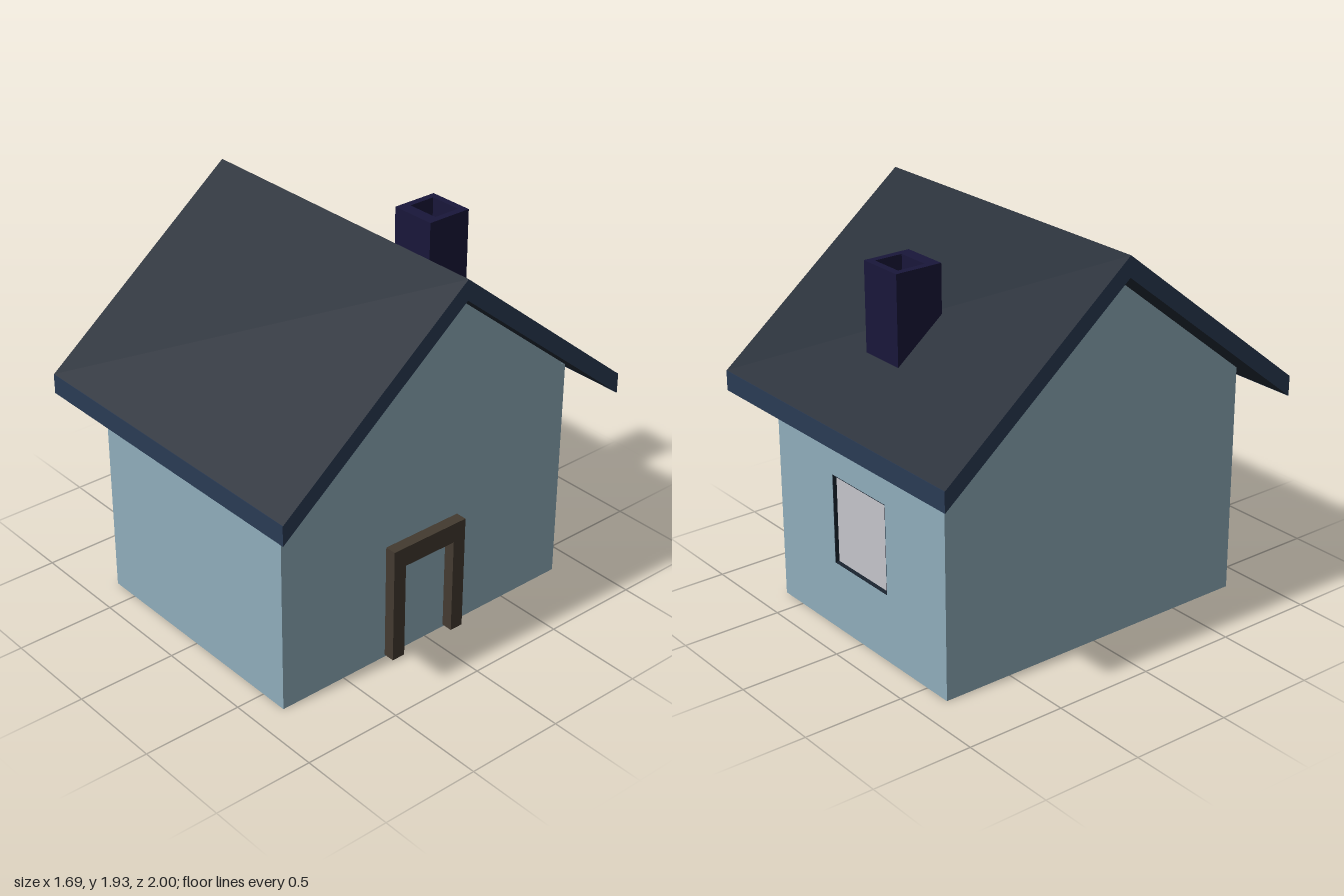
import * as THREE from 'three';

const mat = (color) => new THREE.MeshStandardMaterial({ color, flatShading: true });

function shapeOf(points, hole) {
  const shape = new THREE.Shape(points.map(([x, y]) => new THREE.Vector2(x, y)));
  if (hole) shape.holes.push(new THREE.Path(hole.map(([x, y]) => new THREE.Vector2(x, y))));
  return shape;
}

const rect = (x0, x1, y0, y1) => [[x0, y0], [x1, y0], [x1, y1], [x0, y1]];

function extrude(shape, depth) {
  return new THREE.ExtrudeGeometry(shape, { depth, bevelEnabled: false });
}

// Profile given as [z, y] points, extruded along x and centred on x = 0
function extrudeAlongX(points, halfWidth) {
  const shape = shapeOf(points.map(([z, y]) => [-z, y]));
  return extrude(shape, halfWidth * 2).translate(0, 0, -halfWidth).rotateY(Math.PI / 2);
}

export function createModel() {
  const model = new THREE.Group();
  const wall = mat(0x8fadbb), slate = mat(0x212934), trim = mat(0x2a3b54);
  const brick = mat(0x19173a), wood = mat(0x433a30), glass = mat(0xc4c4ca), dark = mat(0x1a2430);

  const add = (name, geometry, material, parent = model) => {
    const mesh = new THREE.Mesh(geometry, material);
    mesh.name = name;
    parent.add(mesh);
    return mesh;
  };

  const ridgeZ = -0.01, eaveY = 1.035, ridgeY = 1.835, roofT = 0.1;
  const undersideY = (z) => {
    const run = z > ridgeZ ? 1 - ridgeZ : 1 + ridgeZ;
    return ridgeY - (ridgeY - eaveY) * Math.abs(z - ridgeZ) / run;
  };

  // House body with gable ends; the back layer is separate to hold the window recess
  const front = 0.853, back = -0.853, inset = 0.025, halfW = 0.643;
  const backIn = back + inset;
  add('walls', extrudeAlongX([
    [front, 0], [front, undersideY(front)], [ridgeZ, ridgeY], [backIn, undersideY(backIn)], [backIn, 0],
  ], halfW), wall);

  const opening = rect(-0.205, 0.205, 0.34, 0.79);
  add('backWall', extrude(
    shapeOf(rect(-halfW, halfW, 0, undersideY(back) + 0.01), opening), inset,
  ).translate(0, 0, back), wall);

  // Recessed window: dark lining and pane
  const windowGroup = new THREE.Group();
  windowGroup.name = 'window';
  model.add(windowGroup);
  add('windowLining', extrude(shapeOf(opening, rect(-0.201, 0.201, 0.344, 0.786)), inset)
    .translate(0, 0, back + 0.001), dark, windowGroup);
  add('windowPane', new THREE.BoxGeometry(0.405, 0.445, 0.01)
    .translate(0, 0.565, backIn), glass, windowGroup);

  // Roof: folded slab with trim-coloured gable edges and eave boards
  const roofW = 0.843;
  add('roof', extrudeAlongX([
    [0.998, eaveY], [0.998, eaveY + roofT], [ridgeZ, ridgeY + roofT],
    [-0.998, eaveY + roofT], [-0.998, eaveY], [ridgeZ, ridgeY],
  ], roofW), [trim, slate]);
  for (const s of [1, -1]) {
    add(s > 0 ? 'frontEaveBoard' : 'backEaveBoard',
      new THREE.BoxGeometry(roofW * 2, roofT, 0.004).translate(0, eaveY + roofT / 2, s * 0.998), trim);
  }

  // Hollow chimney, open down to the roof slope
  const flue = shapeOf(rect(-0.12, 0.12, 0.462, 0.703), rect(-0.085, 0.085, 0.525, 0.668));
  add('chimney', extrude(flue, 0.445).rotateX(-Math.PI / 2).translate(0, 1.36, 0), brick);

  // Door frame on the +x gable wall
  const doorFrame = new THREE.Group();
  doorFrame.name = 'doorFrame';
  model.add(doorFrame);
  const doorX = 0.67, doorDepth = 0.06;
  for (const [name, z] of [['frontDoorPost', 0.215], ['backDoorPost', -0.15]]) {
    add(name, new THREE.BoxGeometry(doorDepth, 0.495, 0.07).translate(doorX, 0.2575, z), wood, doorFrame);
  }
  add('doorLintel', new THREE.BoxGeometry(doorDepth, 0.1, 0.435)
    .translate(doorX, 0.555, 0.0325), wood, doorFrame);

  return model;
}
